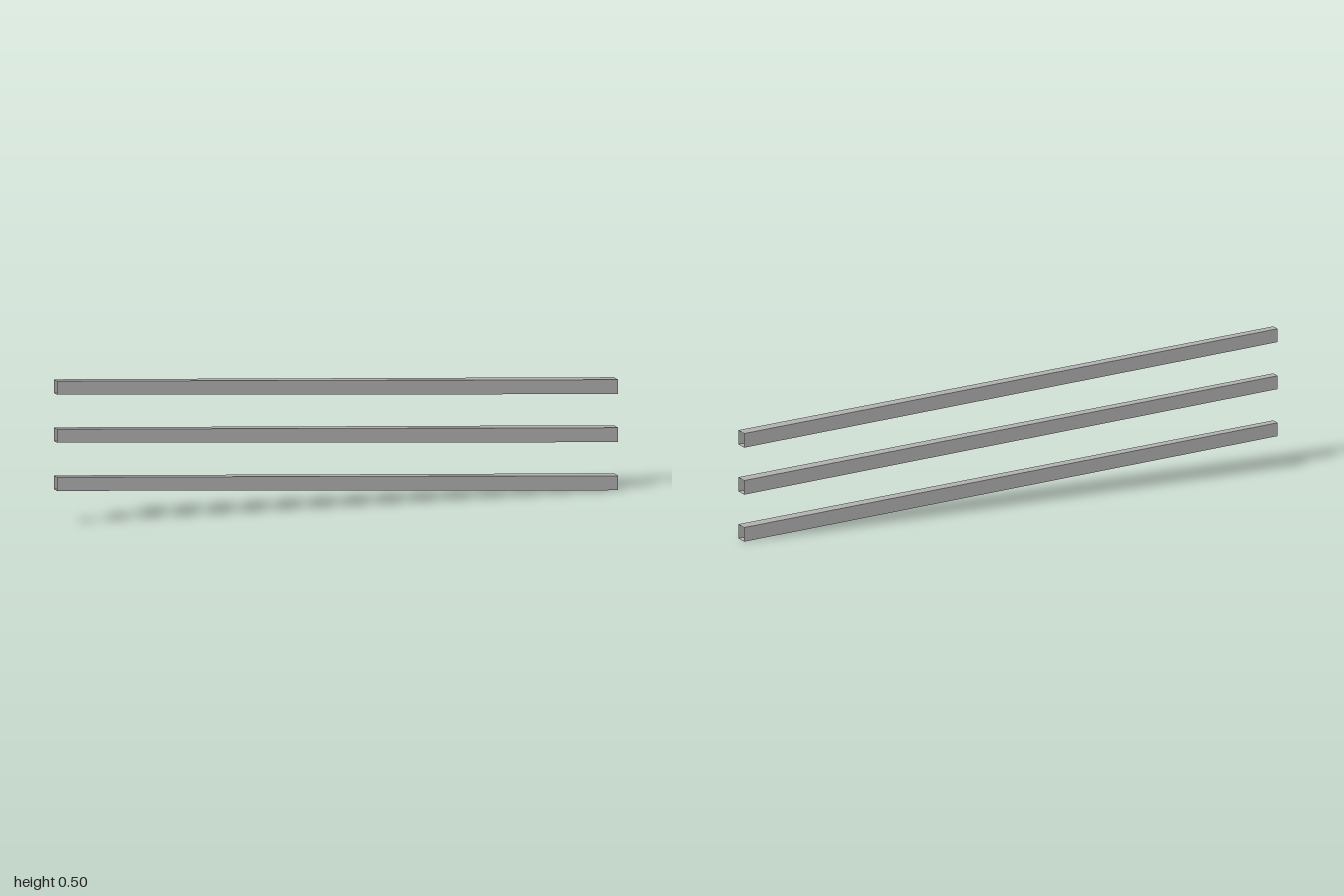
import * as THREE from 'three';

// Open-ended, four-sided rail that widens from the high end (-x) to the low end (+x)
function railGeometry() {
  const ends = [
    { x: -1, bottom: 0.121, top: 0.168, half: 0.0165 },
    { x: 1, bottom: 0, top: 0.05, half: 0.0225 },
  ];
  const [a, b] = ends.map(({ x, bottom, top, half }) => [
    [x, bottom, half], [x, top, half], [x, top, -half], [x, bottom, -half],
  ]);
  const positions = [];
  for (let i = 0; i < 4; i++) {
    const j = (i + 1) % 4;
    positions.push(...a[i], ...b[i], ...b[j], ...a[i], ...b[j], ...a[j]);
  }
  const geometry = new THREE.BufferGeometry();
  geometry.setAttribute('position', new THREE.Float32BufferAttribute(positions, 3));
  geometry.computeVertexNormals();
  return geometry;
}

export function createModel() {
  const model = new THREE.Group();
  model.name = 'slopingRails';

  const grey = new THREE.MeshStandardMaterial({ color: 0xb0b0b0, side: THREE.DoubleSide });
  grey.name = 'grey';

  // Three identical rails, evenly stacked
  const geometry = railGeometry();
  ['lowerRail', 'middleRail', 'upperRail'].forEach((name, i) => {
    const rail = new THREE.Mesh(geometry, grey);
    rail.name = name;
    rail.position.y = i * 0.166;
    model.add(rail);
  });
  return model;
}
